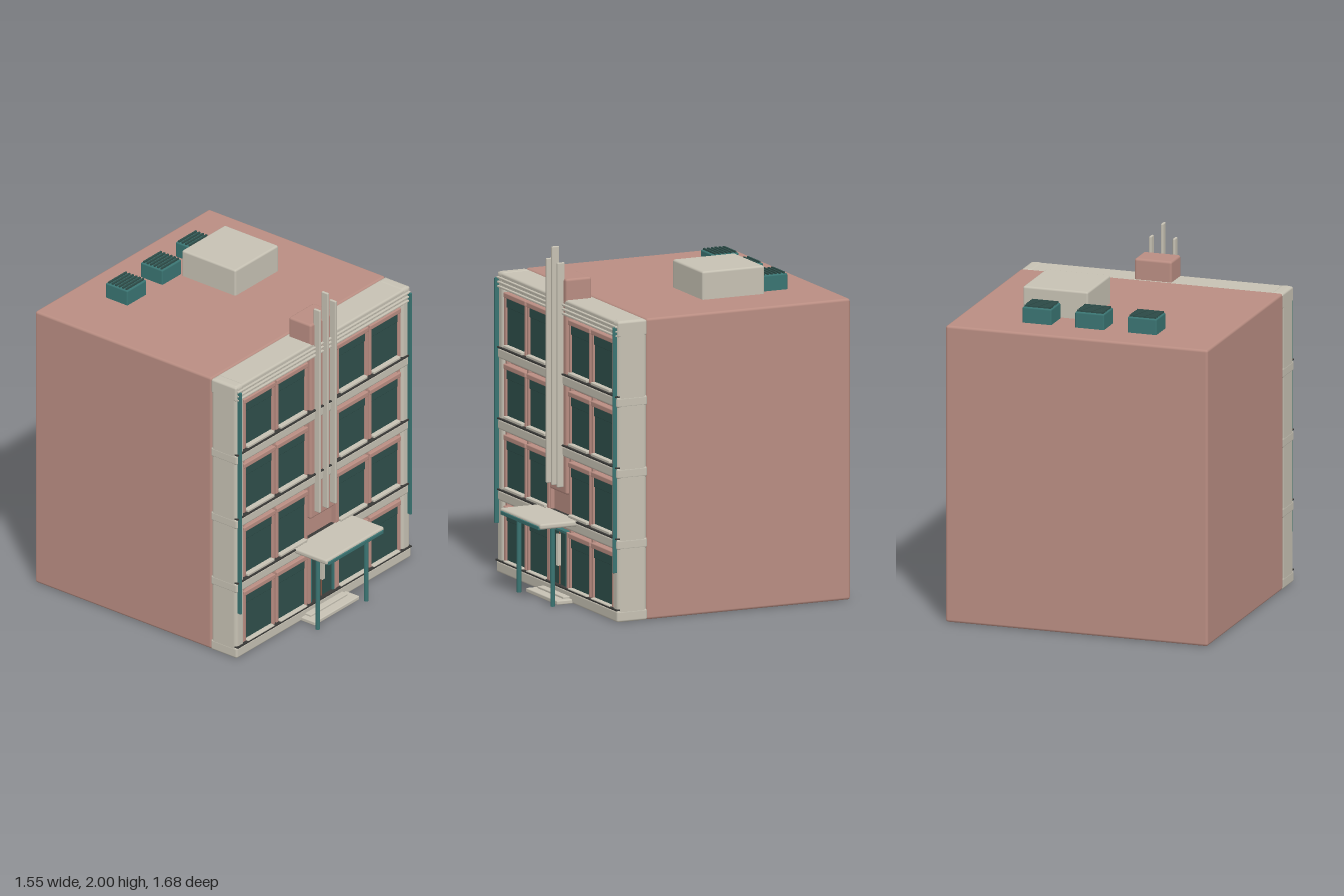
import * as THREE from 'three';
import { RoundedBoxGeometry } from 'three/addons/geometries/RoundedBoxGeometry.js';

const mat = (color) => new THREE.MeshStandardMaterial({ color });
const pink = mat(0xb98d82), cream = mat(0xc6c1b3), teal = mat(0x3a7472);
const glass = mat(0x2f4f4b), dark = mat(0x3a3a38), brown = mat(0x8a5a48);

// Box given by its extents; r > 0 rounds the edges
function block(parent, name, material, [x0, x1], [y0, y1], [z0, z1], r = 0) {
  const w = x1 - x0, h = y1 - y0, d = z1 - z0;
  const geo = r ? new RoundedBoxGeometry(w, h, d, 2, r) : new THREE.BoxGeometry(w, h, d);
  const mesh = new THREE.Mesh(geo, material);
  mesh.name = name;
  mesh.position.set((x0 + x1) / 2, (y0 + y1) / 2, (z0 + z1) / 2);
  parent.add(mesh);
  return mesh;
}

// Window with glass, blind box, side jambs, lintel and sill
function makeWindow(xc, y0, y1) {
  const g = new THREE.Group();
  g.name = 'window';
  const h = 0.118;
  block(g, 'glass', glass, [xc - h, xc + h], [y0, y1], [0.55, 0.582]);
  block(g, 'blindBox', glass, [xc - h, xc + h], [y1 - 0.055, y1], [0.57, 0.59], 0.004);
  for (const s of [-1, 1]) {
    const x = xc + s * (h + 0.011);
    block(g, 'jamb', pink, [x - 0.011, x + 0.011], [y0 - 0.01, y1 + 0.01], [0.55, 0.594], 0.004);
  }
  block(g, 'lintel', pink, [xc - h - 0.02, xc + h + 0.02], [y1, y1 + 0.03], [0.55, 0.6], 0.006);
  block(g, 'sill', cream, [xc - h, xc + h], [y0 - 0.008, y0 + 0.008], [0.56, 0.61], 0.004);
  return g;
}

function makeFacade() {
  const g = new THREE.Group();
  g.name = 'facade';
  block(g, 'frontWall', pink, [-0.72, 0.72], [0.02, 1.69], [0.4, 0.56]);
  // Horizontal bands with a dark joint on top
  const bands = [[0, 0.065], [0.41, 0.47], [0.815, 0.875], [1.22, 1.28]];
  for (const [a, b] of bands) {
    block(g, 'floorBand', cream, [-0.776, 0.776], [a, b], [0.418, 0.606], 0.012);
    block(g, 'bandJoint', dark, [-0.773, 0.773], [b, b + 0.008], [0.56, 0.612]);
  }
  block(g, 'parapet', cream, [-0.775, 0.775], [1.62, 1.71], [0.42, 0.6], 0.012);
  for (const y of [1.63, 1.655, 1.68])
    block(g, 'corniceLine', cream, [-0.765, 0.765], [y - 0.006, y + 0.006], [0.59, 0.612], 0.004);

  for (const s of [-1, 1]) {
    const span = (a, b) => (s > 0 ? [a, b] : [-b, -a]);
    block(g, 'cornerPillar', cream, span(0.7, 0.775), [0, 1.714], [0.42, 0.602], 0.022);
    block(g, 'cornerTrim', teal, span(0.749, 0.763), [0.28, 1.68], [0.595, 0.625], 0.004);
    for (const x of [0.132, 0.413, 0.69])
      block(g, 'wallPier', pink, span(x - 0.01, x + 0.01), [0.06, 1.6], [0.54, 0.585]);
  }
  // Four storeys, four windows each
  const storeys = [[0.072, 0.36], [0.49, 0.765], [0.895, 1.168], [1.3, 1.575]];
  for (const [a, b] of storeys)
    for (const x of [-0.56, -0.268, 0.268, 0.56]) g.add(makeWindow(x, a, b));
  return g;
}

function makeTower() {
  const g = new THREE.Group();
  g.name = 'centreTower';
  block(g, 'towerBlock', pink, [-0.11, 0.11], [0.6, 1.83], [0.44, 0.6], 0.014);
  for (const [x, top] of [[-0.07, 1.92], [0, 2], [0.07, 1.92]])
    block(g, 'verticalFin', cream, [x - 0.008, x + 0.008], [0.64, top], [0.592, 0.638], 0.006);
  return g;
}

function makeEntrance() {
  const g = new THREE.Group();
  g.name = 'entrance';
  block(g, 'canopy', cream, [-0.258, 0.258], [0.45, 0.482], [0.58, 0.832], 0.012);
  block(g, 'canopyTrim', teal, [-0.245, 0.245], [0.446, 0.468], [0.8, 0.838], 0.004);
  for (const s of [-1, 1]) {
    const post = new THREE.Mesh(new THREE.CylinderGeometry(0.013, 0.013, 0.45, 16), teal);
    post.name = 'canopyPost';
    post.position.set(s * 0.215, 0.225, 0.735);
    g.add(post);
    const span = (a, b) => (s > 0 ? [a, b] : [-b, -a]);
    block(g, 'doorLeaf', glass, span(0.003, 0.095), [0.065, 0.38], [0.55, 0.585]);
    block(g, 'doorFrame', teal, span(0.093, 0.105), [0.065, 0.385], [0.55, 0.595]);
    block(g, 'doorSurround', pink, span(0.105, 0.125), [0.065, 0.39], [0.55, 0.598], 0.004);
    block(g, 'doorHandle', cream, span(0.004, 0.011), [0.18, 0.36], [0.585, 0.604]);
  }
  block(g, 'doorGap', brown, [-0.004, 0.004], [0.065, 0.38], [0.55, 0.59]);
  block(g, 'doorHead', teal, [-0.105, 0.105], [0.375, 0.388], [0.55, 0.595]);
  block(g, 'lowerStep', cream, [-0.2, 0.2], [0, 0.024], [0.58, 0.7], 0.006);
  block(g, 'upperStep', cream, [-0.165, 0.165], [0.015, 0.036], [0.58, 0.645], 0.005);
  return g;
}

function makeRoof() {
  const g = new THREE.Group();
  g.name = 'roofEquipment';
  block(g, 'roofHut', cream, [0.065, 0.45], [1.7, 1.875], [-0.465, -0.08], 0.012);
  // Three vent units with slatted tops
  for (const x of [-0.315, -0.004, 0.307]) {
    block(g, 'ventUnit', teal, [x - 0.086, x + 0.086], [1.7, 1.805], [-0.635, -0.478], 0.008);
    for (let i = 0; i < 6; i++) {
      const z = -0.617 + i * 0.0245;
      block(g, 'ventSlat', glass, [x - 0.078, x + 0.078], [1.8, 1.815], [z - 0.005, z + 0.005]);
    }
  }
  return g;
}

export function createModel() {
  const model = new THREE.Group();
  model.name = 'building';
  block(model, 'mainBody', pink, [-0.775, 0.775], [0, 1.715], [-0.84, 0.424], 0.015);
  model.add(makeFacade(), makeTower(), makeEntrance(), makeRoof());
  return model;
}
